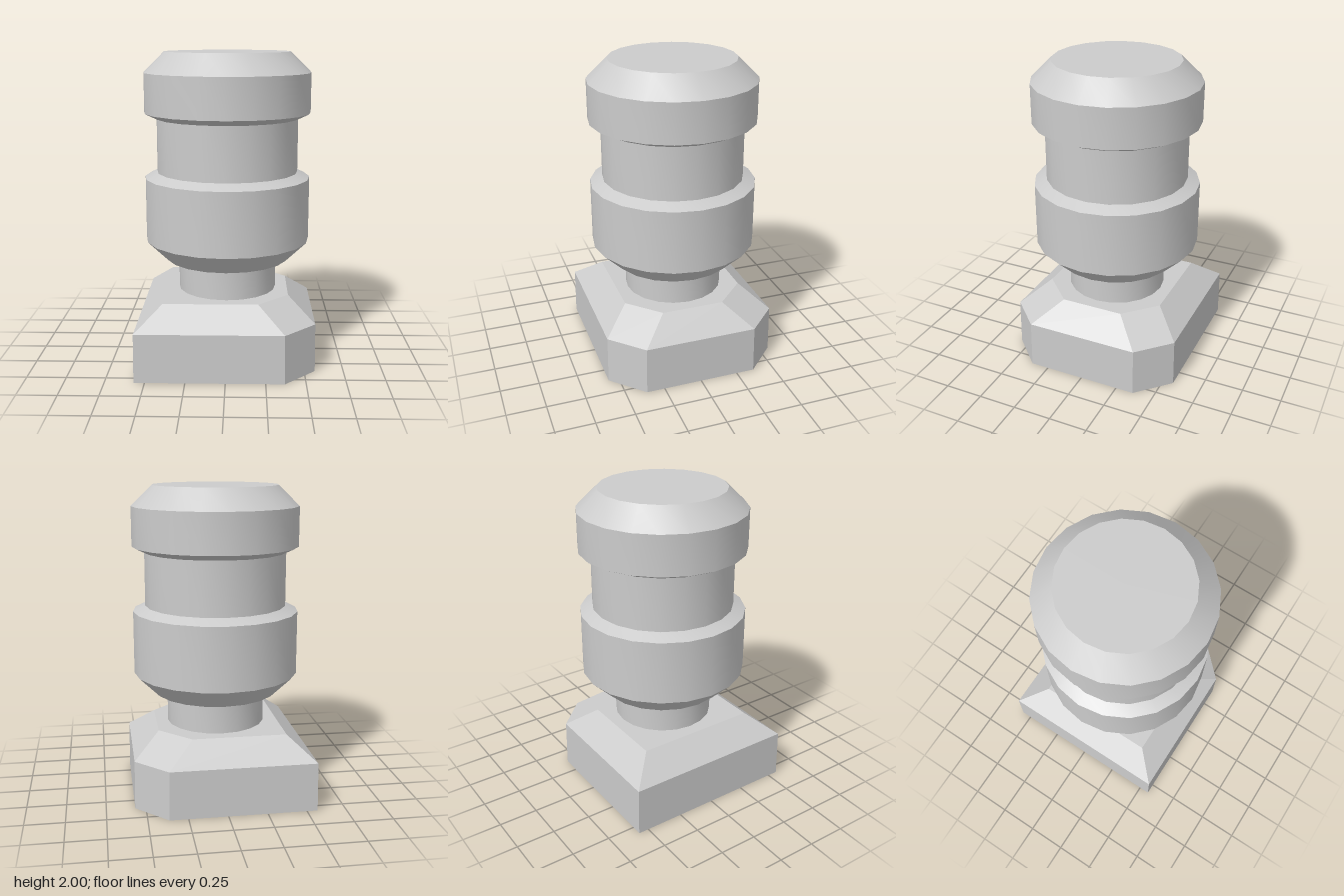
import * as THREE from 'three';
import { toCreasedNormals } from 'three/addons/utils/BufferGeometryUtils.js';

const material = new THREE.MeshStandardMaterial({ color: 0xcccccc });
const shellMaterial = new THREE.MeshStandardMaterial({
  color: 0xcccccc, flatShading: true, side: THREE.DoubleSide,
});

// Square ring with the two +x corners cut off, counter-clockwise from above
function cutSquare(y, half, cut) {
  return [
    [-half, half], [half - cut, half], [half, half - cut],
    [half, cut - half], [half - cut, -half], [-half, -half],
  ].map(([x, z]) => [x, y, z]);
}

// Round part turned from [radius, height] pairs, sharp between bands
function turned(name, profile) {
  const points = profile.map(([r, y]) => new THREE.Vector2(r, y));
  const geometry = toCreasedNormals(new THREE.LatheGeometry(points, 20), 0.38);
  const mesh = new THREE.Mesh(geometry, material);
  mesh.name = name;
  return mesh;
}

// Hollow plinth, open underneath
function createBase() {
  const rings = [
    cutSquare(0, 0.568, 0.2),
    cutSquare(0.315, 0.565, 0.2),
    cutSquare(0.455, 0.398, 0.195),
  ];
  const positions = [];
  const tri = (a, b, c) => positions.push(...a, ...b, ...c);
  for (let r = 0; r < rings.length - 1; r++) {
    for (let i = 0; i < 6; i++) {
      const j = (i + 1) % 6;
      tri(rings[r][i], rings[r][j], rings[r + 1][j]);
      tri(rings[r][i], rings[r + 1][j], rings[r + 1][i]);
    }
  }
  const top = rings[2];
  for (let i = 1; i < 5; i++) tri(top[0], top[i], top[i + 1]);

  const geometry = new THREE.BufferGeometry();
  geometry.setAttribute('position', new THREE.Float32BufferAttribute(positions, 3));
  geometry.computeVertexNormals();
  const mesh = new THREE.Mesh(geometry, shellMaterial);
  mesh.name = 'base';
  return mesh;
}

export function createModel() {
  const model = new THREE.Group();
  model.name = 'knob';
  model.add(
    createBase(),
    turned('neck', [[0.32, 0.455], [0.32, 0.66]]),
    turned('gripBody', [
      [0.32, 0.66], [0.402, 0.66], [0.535, 0.79], [0.535, 1.2],
      [0.456, 1.236], [0.456, 1.58], [0.535, 1.617],
      [0.535, 1.87], [0.402, 2], [0, 2],
    ]),
  );
  return model;
}
